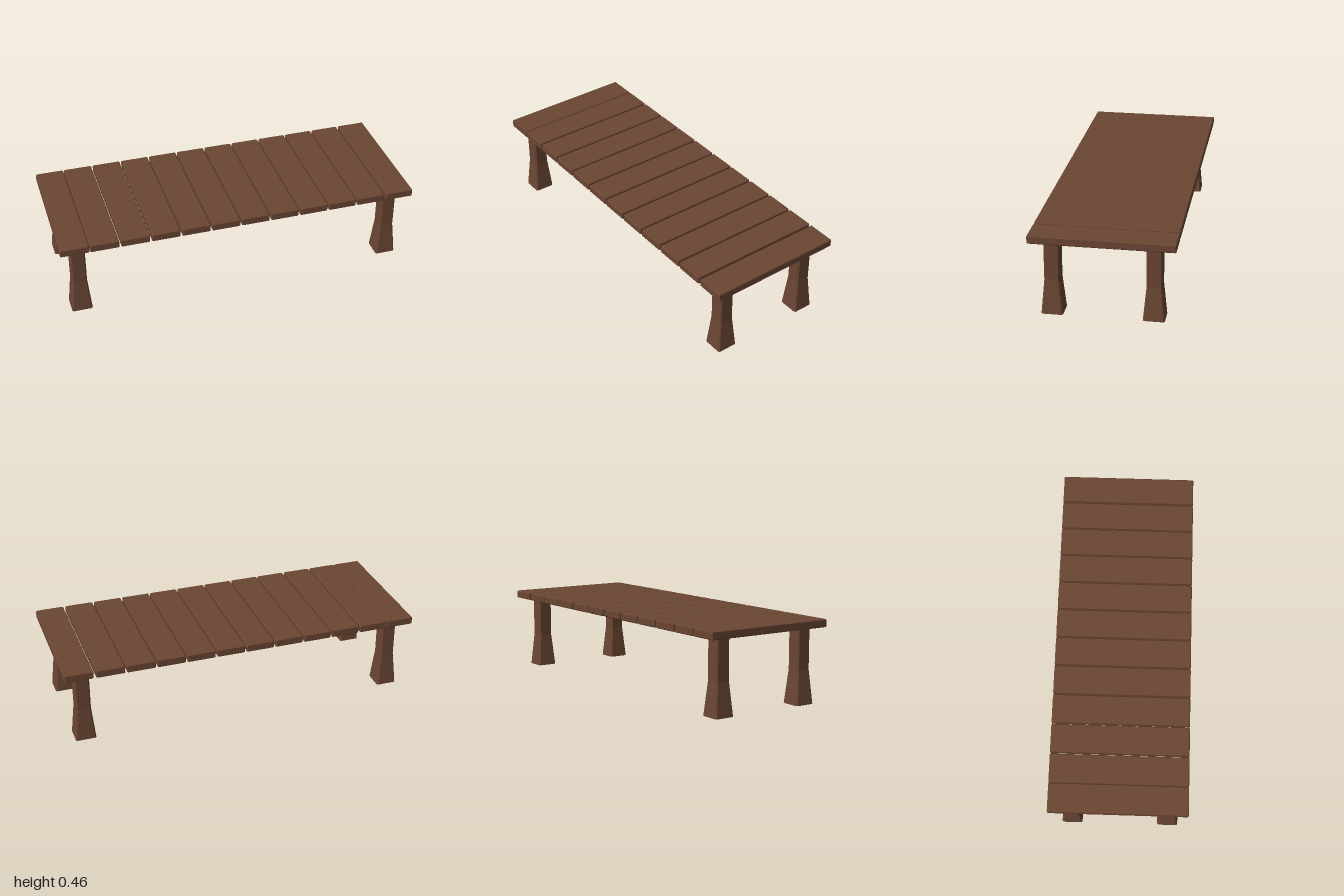
import * as THREE from 'three';

const wood = new THREE.MeshStandardMaterial({ color: 0x6b4633, side: THREE.DoubleSide });
wood.name = 'brown wood';

// Rectangular ring with cut corners at height y
function ring(y, hx, hz, c) {
  const x = hx - c, z = hz - c;
  return [[hx, z], [x, hz], [-x, hz], [-hx, z], [-hx, -z], [-x, -hz], [x, -hz], [hx, -z]]
    .map(([px, pz]) => [px, y, pz]);
}

// Flat-shaded shell through a stack of rings, closed at the top and open below
function shell(rings) {
  const points = [];
  for (let r = 0; r < rings.length - 1; r++) {
    for (let i = 0; i < 8; i++) {
      const j = (i + 1) % 8;
      const a = rings[r][i], b = rings[r][j], c = rings[r + 1][j], d = rings[r + 1][i];
      points.push(...a, ...d, ...b, ...b, ...d, ...c);
    }
  }
  const top = rings[rings.length - 1];
  for (let i = 1; i < 7; i++) points.push(...top[0], ...top[i + 1], ...top[i]);
  const geometry = new THREE.BufferGeometry();
  geometry.setAttribute('position', new THREE.Float32BufferAttribute(points, 3));
  geometry.computeVertexNormals();
  return geometry;
}

export function createModel() {
  const model = new THREE.Group();
  model.name = 'slattedTable';

  // Table top: a row of hollow planks with chamfered edges
  const hx = 0.0785, hz = 0.378, c = 0.004;
  const plank = shell([
    ring(0.414, hx - c, hz - c, c / 2),
    ring(0.414 + c, hx, hz, c),
    ring(0.457 - c, hx, hz, c),
    ring(0.457, hx - c, hz - c, c / 2),
  ]);
  const centres = [-1 + hx];
  for (let i = 0; i < 10; i++) centres.push(-0.838 + hx + i * 0.1678);
  centres.push(1 - hx);
  centres.forEach((x, i) => {
    const mesh = new THREE.Mesh(plank, wood);
    mesh.name = `plank${i + 1}`;
    mesh.position.x = x;
    model.add(mesh);
  });

  // Hollow legs flared towards the foot, set slightly unevenly
  const leg = shell([
    ring(0, 0.057, 0.057, 0.007),
    ring(0.185, 0.0405, 0.0405, 0.007),
    ring(0.42, 0.0405, 0.0405, 0.007),
  ]);
  const spots = {
    frontLeftLeg: [0.893, 0.268], backLeftLeg: [0.893, -0.261],
    frontRightLeg: [-0.899, 0.277], backRightLeg: [-0.899, -0.26],
  };
  for (const [name, [x, z]] of Object.entries(spots)) {
    const mesh = new THREE.Mesh(leg, wood);
    mesh.name = name;
    mesh.position.set(x, 0, z);
    model.add(mesh);
  }
  return model;
}
